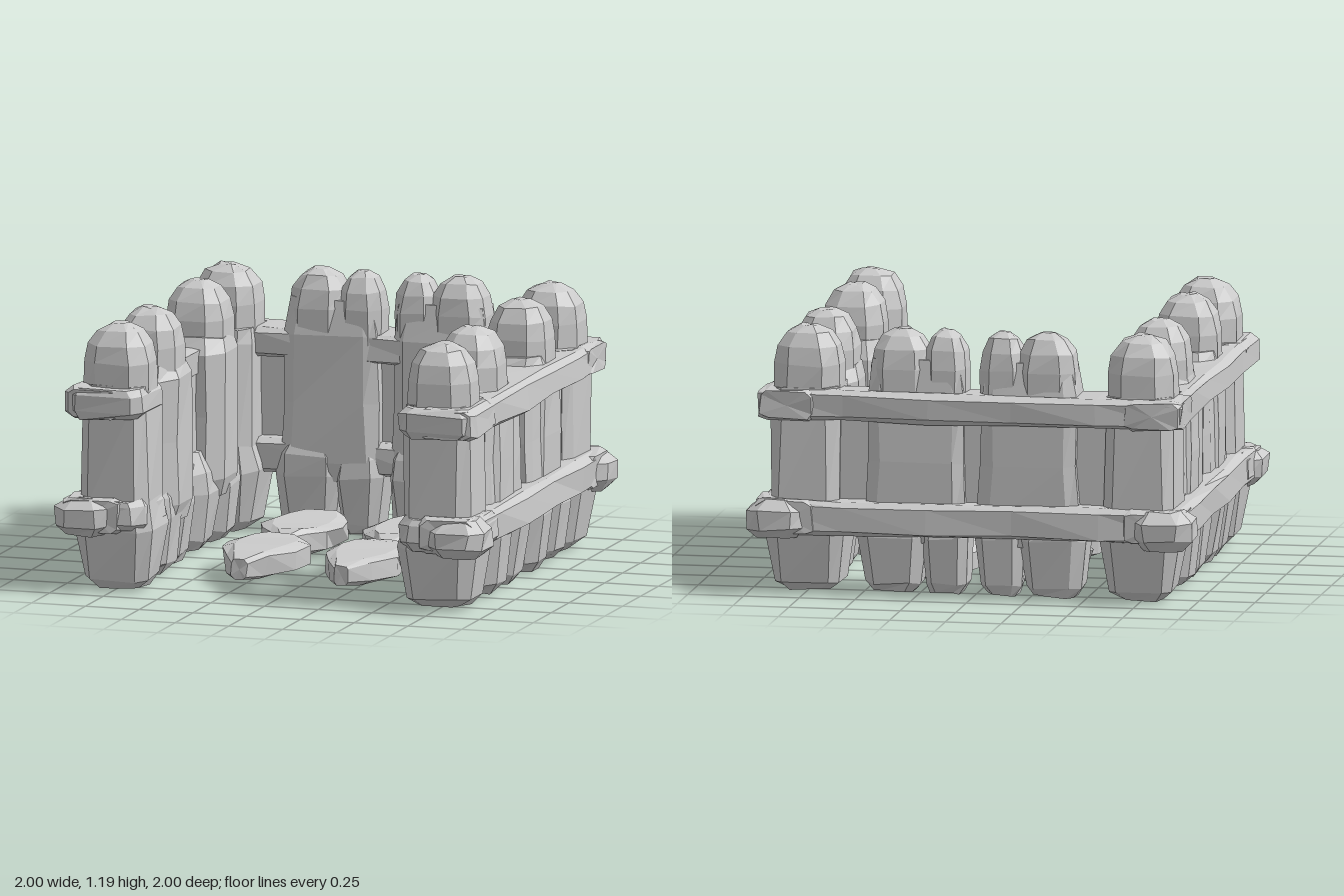
import * as THREE from 'three';

export function createModel() {
  const group = new THREE.Group();
  const material = new THREE.MeshStandardMaterial({ color: 0xcccccc, flatShading: true });

  // Seeded wobble for the rough-hewn look
  let seed = 7;
  const wobble = (amount) => {
    seed = (seed * 16807) % 2147483647;
    return (seed / 2147483647 - 0.5) * 2 * amount;
  };

  // Faceted solid along y from rings [y, halfX, halfZ]; low power = squarer section
  function loft(rings, power = 0.5, rough = 0.008) {
    const n = 8, pos = [], idx = [];
    const max = Math.pow(Math.cos(Math.PI / 8), power);
    const squash = (v) => Math.sign(v) * Math.pow(Math.abs(v), power) / max;
    rings.forEach(([y, hx, hz]) => {
      for (let i = 0; i < n; i++) {
        const a = (i + 0.5) / n * Math.PI * 2;
        pos.push(squash(Math.cos(a)) * hx + wobble(rough), y + wobble(rough), squash(Math.sin(a)) * hz + wobble(rough));
      }
    });
    const last = (rings.length - 1) * n, bottom = rings.length * n, top = bottom + 1;
    pos.push(0, rings[0][0], 0, 0, rings[rings.length - 1][0], 0);
    for (let i = 0; i < n; i++) {
      const j = (i + 1) % n;
      for (let r = 0; r < last; r += n) idx.push(r + i, r + n + i, r + j, r + j, r + n + i, r + n + j);
      idx.push(bottom, i, j, top, last + j, last + i);
    }
    const g = new THREE.BufferGeometry();
    g.setAttribute('position', new THREE.Float32BufferAttribute(pos, 3));
    g.setIndex(idx);
    g.computeVertexNormals();
    return g;
  }

  function add(name, geometry, x, y, z) {
    const mesh = new THREE.Mesh(geometry, material);
    mesh.name = name;
    mesh.position.set(x, y, z);
    group.add(mesh);
  }

  // Rounded post head
  const head = (hx, hz) => loft([[0.85, hx, hz], [1.02, hx * 0.99, hz * 0.99], [1.1, hx * 0.88, hz * 0.88],
    [1.16, hx * 0.62, hz * 0.62], [1.187, hx * 0.25, hz * 0.25]], 0.72, 0.005);

  // Tapered foot, blending into the plank above
  const foot = (hx, hz) => loft([[0.015, hx * 0.6, hz * 0.62], [0.06, hx * 0.82, hz * 0.82],
    [0.27, hx, hz], [0.36, hx * 0.92, hz * 0.95], [0.46, hx * 0.6, hz * 0.7]], 0.55);

  // Horizontal rail of half length len, with slightly swelling section
  const rail = (len, across, up) => loft(
    [-1, -0.96, -0.6, -0.2, 0.2, 0.6, 0.96, 1].map((t, i) => {
      const s = i === 0 || i === 7 ? 0.88 : 1 - 0.05 * (i % 2);
      return [t * len, across * s, up * s];
    }), 0.35);

  // Leaf-shaped slab along z, narrower underneath
  function leaf(rings) {
    const g = loft(rings.map(([z, hw]) => [z, hw, hw < 0.05 ? 0.045 : 0.062]), 0.45, 0.005).rotateX(Math.PI / 2);
    const p = g.attributes.position;
    for (let i = 0; i < p.count; i++) if (p.getY(i) < -0.045) p.setX(i, p.getX(i) * 0.75);
    return g;
  }

  for (const side of [1, -1]) {
    for (const end of [1, -1]) {
      // Corner posts
      add('cornerPost', loft([[0.01, 0.1, 0.09], [0.05, 0.145, 0.13], [0.28, 0.18, 0.17], [0.4, 0.155, 0.165],
        [0.85, 0.15, 0.16], [0.92, 0.14, 0.15]], 0.42), side * 0.75, 0, end * 0.735);
      add('cornerHead', head(0.148, 0.135), side * 0.75, 0, end * 0.75);

      // Knobbly corner where the lower rails cross
      add('lowerCorner', loft([[0.255, 0.09, 0.09], [0.3, 0.13, 0.13], [0.38, 0.13, 0.13], [0.425, 0.08, 0.08]], 0.65),
        side * 0.865, 0, end * 0.865);

      // Broad flat side planks, each with one rounded post and two feet
      add('sidePlank', loft([[0.27, 0.1, 0.24], [0.6, 0.095, 0.24], [0.9, 0.095, 0.235]], 0.25),
        side * 0.79, 0, end * 0.29);
      add('sidePost', loft([[0.24, 0.13, 0.15], [0.32, 0.155, 0.185], [0.6, 0.155, 0.18], [0.88, 0.15, 0.18],
        [0.95, 0.13, 0.14]], 0.65), side * 0.745, 0, end * 0.325);
      add('sideHead', head(0.138, 0.14), side * 0.748, 0, end * 0.34);
      add('sideFoot', foot(0.165, 0.13), side * 0.765, 0, end * 0.41);
      add('sideFoot', foot(0.155, 0.125), side * 0.775, 0, end * 0.165);
    }

    // Rail ends wrapped around the front posts
    add('upperRailEnd', loft([[0.78, 0.15, 0.16], [0.81, 0.18, 0.18], [0.89, 0.175, 0.18], [0.915, 0.15, 0.16]], 0.35),
      side * 0.77, 0, 0.77);
    add('lowerRailEnd', loft([[0.28, 0.165, 0.165], [0.31, 0.19, 0.185], [0.39, 0.185, 0.185], [0.42, 0.16, 0.165]], 0.4),
      side * 0.775, 0, 0.76);

    // Side rails and the thin wall behind the gaps
    add('upperSideRail', rail(0.94, 0.135, 0.068).rotateX(Math.PI / 2), side * 0.82, 0.85, 0);
    add('lowerSideRail', rail(0.95, 0.14, 0.078).rotateX(Math.PI / 2), side * 0.825, 0.35, 0);
    add('sideWall', new THREE.BoxGeometry(0.08, 0.56, 1.6), side * 0.78, 0.6, 0);

    // Back planks, each with a wide and a narrow head and foot
    add('backPlank', loft([[0.24, 0.215, 0.1], [0.33, 0.23, 0.115], [0.6, 0.215, 0.112], [0.9, 0.215, 0.112],
      [1.06, 0.19, 0.085]], 0.32), side * 0.253, 0, -0.775);
    add('backHeadWide', head(0.135, 0.11), side * 0.325, 0, -0.775);
    add('backHeadNarrow', head(0.1, 0.1), side * 0.13, 0, -0.775);
    add('backFootWide', foot(0.155, 0.13), side * 0.36, 0, -0.775);
    add('backFootNarrow', foot(0.11, 0.125), side * 0.125, 0, -0.775);

    // Floor slabs meeting at a narrow waist
    add('rearFloorSlab', leaf([[-0.6, 0.04], [-0.52, 0.105], [-0.4, 0.16], [-0.24, 0.19], [-0.14, 0.15],
      [-0.06, 0.085], [0.01, 0.03]]), side * 0.237, 0.088, 0);
    add('frontFloorSlab', leaf([[-0.01, 0.03], [0.05, 0.085], [0.12, 0.15], [0.22, 0.19], [0.36, 0.17],
      [0.52, 0.1], [0.64, 0.035]]), side * 0.237, 0.088, 0);
  }

  // Back rails and wall
  add('upperBackRail', rail(0.95, 0.068, 0.135).rotateZ(-Math.PI / 2), 0, 0.85, -0.8);
  add('lowerBackRail', rail(0.96, 0.078, 0.135).rotateZ(-Math.PI / 2), 0, 0.35, -0.81);
  add('backWall', new THREE.BoxGeometry(1.5, 0.56, 0.08), 0, 0.6, -0.79);

  return group;
}
